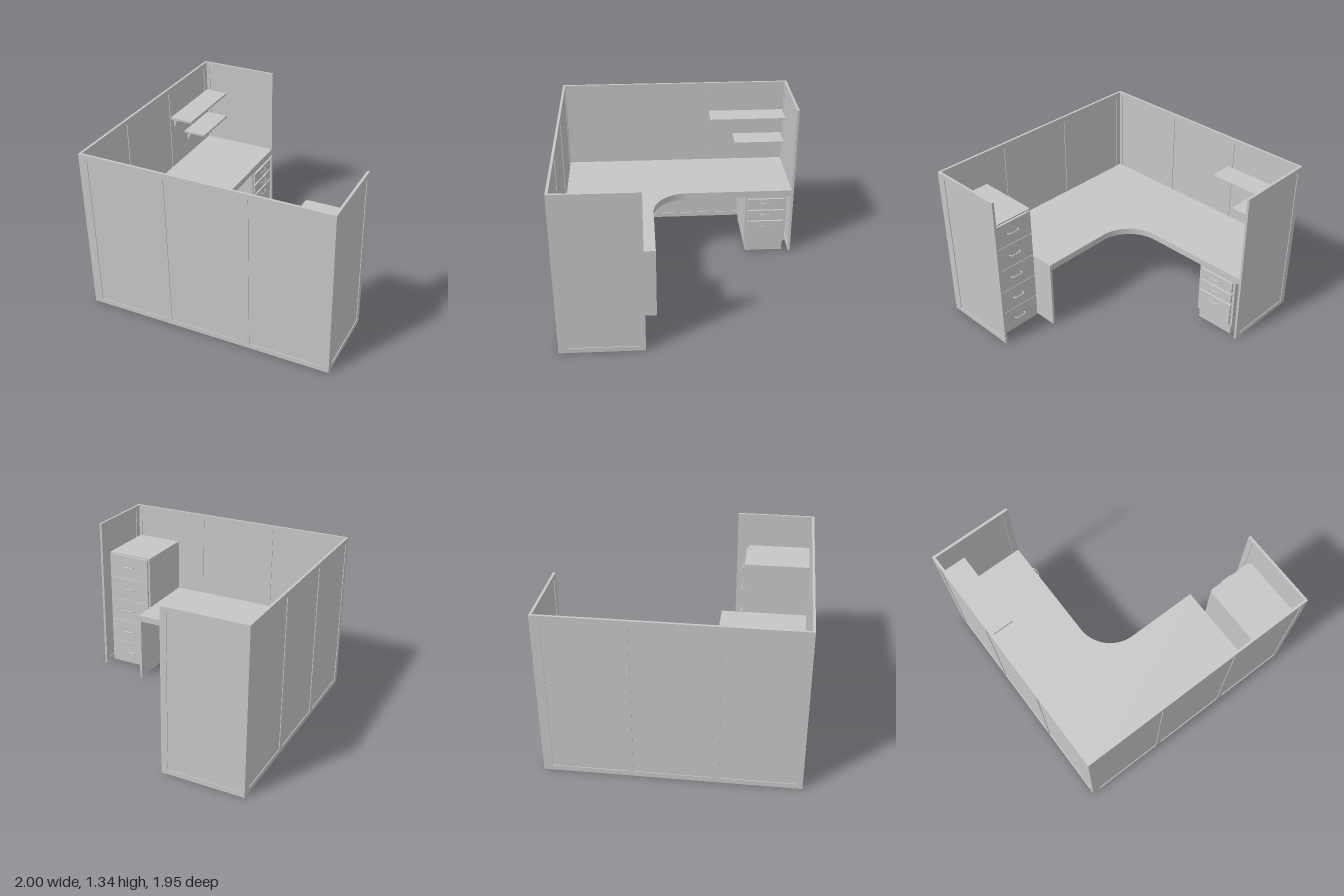
import * as THREE from 'three';

const grey = new THREE.MeshStandardMaterial({ color: 0xc6c6c6 });
grey.name = 'light office grey';

function add(parent, name, geometry) {
  const mesh = new THREE.Mesh(geometry, grey);
  mesh.name = name;
  parent.add(mesh);
  return mesh;
}

// Box given by its minimum and maximum on each axis
function box(parent, name, x0, x1, y0, y1, z0, z1) {
  const mesh = add(parent, name, new THREE.BoxGeometry(x1 - x0, y1 - y0, z1 - z0));
  mesh.position.set((x0 + x1) / 2, (y0 + y1) / 2, (z0 + z1) / 2);
  return mesh;
}

function group(parent, name) {
  const g = new THREE.Group();
  g.name = name;
  parent.add(g);
  return g;
}

// Framed partition along x: recessed panels between stiles and rails
const H = 1.335, T = 0.02;
function wall(parent, name, length, panels) {
  const g = group(parent, name);
  const rail = 0.04, stile = 0.05, h = length / 2, t = T / 2;
  box(g, 'panel', -h + 0.01, h - 0.01, 0.01, H - 0.01, -t + 0.006, t - 0.006);
  box(g, 'bottomRail', -h, h, 0, rail, -t, t);
  box(g, 'topRail', -h, h, H - rail, H, -t, t);
  for (let i = 0; i <= panels; i++) {
    const c = -h + (length * i) / panels;
    const x0 = Math.min(Math.max(c - stile / 2, -h), h - stile);
    box(g, 'stile', x0, x0 + stile, rail, H - rail, -t, t);
  }
  return g;
}

// Bow handles spanning x and projecting towards +z
const squareBow = [[-1, 0], [-1, 0.6], [-0.8, 1], [0, 1], [0.8, 1], [1, 0.6], [1, 0]];
const roundBow = [[-1, 0], [-0.87, 0.5], [-0.5, 0.87], [0, 1], [0.5, 0.87], [0.87, 0.5], [1, 0]];
function handle(parent, bow, radius) {
  const path = new THREE.CatmullRomCurve3(
    bow.map(([x, z]) => new THREE.Vector3(x * 0.048, 0, z * 0.026)), false, 'catmullrom', 0.4);
  return add(parent, 'handle', new THREE.TubeGeometry(path, 28, radius, 8));
}

// Drawer unit facing +z, its carcass front at z = 0
function drawers(parent, name, width, depth, y0, y1, fronts, fw, bow, radius) {
  const g = group(parent, name);
  box(g, 'carcass', -width / 2, width / 2, y0, y1, -depth, 0);
  for (const [a, b, hy] of fronts) {
    box(g, 'drawerFront', -fw / 2, fw / 2, a, b, 0, 0.018);
    handle(g, bow, radius).position.set(0, hy, 0.016);
  }
  return g;
}

function shelf(parent, name, y, z0, z1, brackets) {
  const g = group(parent, name);
  box(g, 'board', -0.98, -0.78, y, y + 0.017, z0, z1);
  // L-shaped support brackets
  const s = new THREE.Shape([[0, 0], [0.13, 0], [0.13, -0.012], [0.035, -0.02], [0.015, -0.08], [0, -0.08]]
    .map(([x, v]) => new THREE.Vector2(x, v)));
  for (const z of brackets) {
    const m = add(g, 'bracket', new THREE.ExtrudeGeometry(s, { depth: 0.012, bevelEnabled: false }));
    m.position.set(-0.98, y, z - 0.006);
  }
}

export function createModel() {
  const model = new THREE.Group();
  model.name = 'officeCubicle';

  // Partitions
  const walls = group(model, 'partitions');
  wall(walls, 'frontWall', 1.98, 3).position.set(0.01, 0, 0.965);
  const long = wall(walls, 'longSideWall', 1.932, 3);
  long.rotation.y = Math.PI / 2;
  long.position.set(-0.99, 0, 0.009);
  wall(walls, 'backWall', 0.67, 1).position.set(-0.665, 0, -0.967);
  const short = wall(walls, 'shortSideWall', 0.63, 1);
  short.rotation.y = Math.PI / 2;
  short.position.set(0.99, 0, 0.64);

  // L-shaped worktop with a rounded inner corner (drawn in x and -z)
  const top = new THREE.Shape();
  top.moveTo(-0.98, -0.955);
  top.lineTo(0.57, -0.955);
  top.lineTo(0.57, -0.23);
  top.lineTo(-0.03, -0.23);
  top.absarc(-0.03, 0.07, 0.3, -Math.PI / 2, -Math.PI, true);
  top.lineTo(-0.33, 0.957);
  top.lineTo(-0.98, 0.957);
  top.closePath();
  const worktop = add(model, 'worktop',
    new THREE.ExtrudeGeometry(top, { depth: 0.053, bevelEnabled: false, curveSegments: 32 }));
  worktop.rotation.x = -Math.PI / 2;
  worktop.position.y = 0.545;

  // Worktop supports: end panel, rear rails and corner boards
  const support = group(model, 'worktopSupport');
  box(support, 'endPanel', 0.55, 0.57, 0, 0.545, 0.23, 0.955);
  box(support, 'frontRail', -0.335, 0.55, 0.4, 0.545, 0.935, 0.955);
  box(support, 'sideRail', -0.98, -0.96, 0.4, 0.545, -0.957, 0.25);
  box(support, 'cornerBoard', -0.96, -0.335, 0, 0.545, 0.935, 0.955);
  box(support, 'cornerBoard', -0.98, -0.96, 0, 0.545, 0.25, 0.955);

  // Three-drawer pedestal under the worktop, facing +x
  const pedestal = drawers(model, 'pedestal', 0.355, 0.58, 0.09, 0.543,
    [[0.43, 0.523, 0.492], [0.325, 0.412, 0.384], [0.105, 0.306, 0.267]], 0.315, roundBow, 0.004);
  box(pedestal, 'plinth', -0.165, 0.16, 0, 0.09, -0.57, -0.01);
  pedestal.rotation.y = Math.PI / 2;
  pedestal.position.set(-0.34, 0, -0.742);

  // Tall five-drawer cabinet, facing -z
  const fronts = [];
  for (let i = 0; i < 5; i++) {
    const y = 0.008 + i * 0.207;
    fronts.push([y, y + 0.203, y + 0.11]);
  }
  const cabinet = drawers(model, 'tallCabinet', 0.4, 0.525, 0, 1.05, fronts, 0.37, squareBow, 0.005);
  cabinet.rotation.y = Math.PI;
  cabinet.position.set(0.77, 0, 0.43);

  // Wall shelves
  shelf(model, 'upperShelf', 1.056, -0.95, -0.295, [-0.345, -0.895]);
  shelf(model, 'lowerShelf', 0.832, -0.945, -0.512, [-0.565, -0.89]);

  return model;
}
